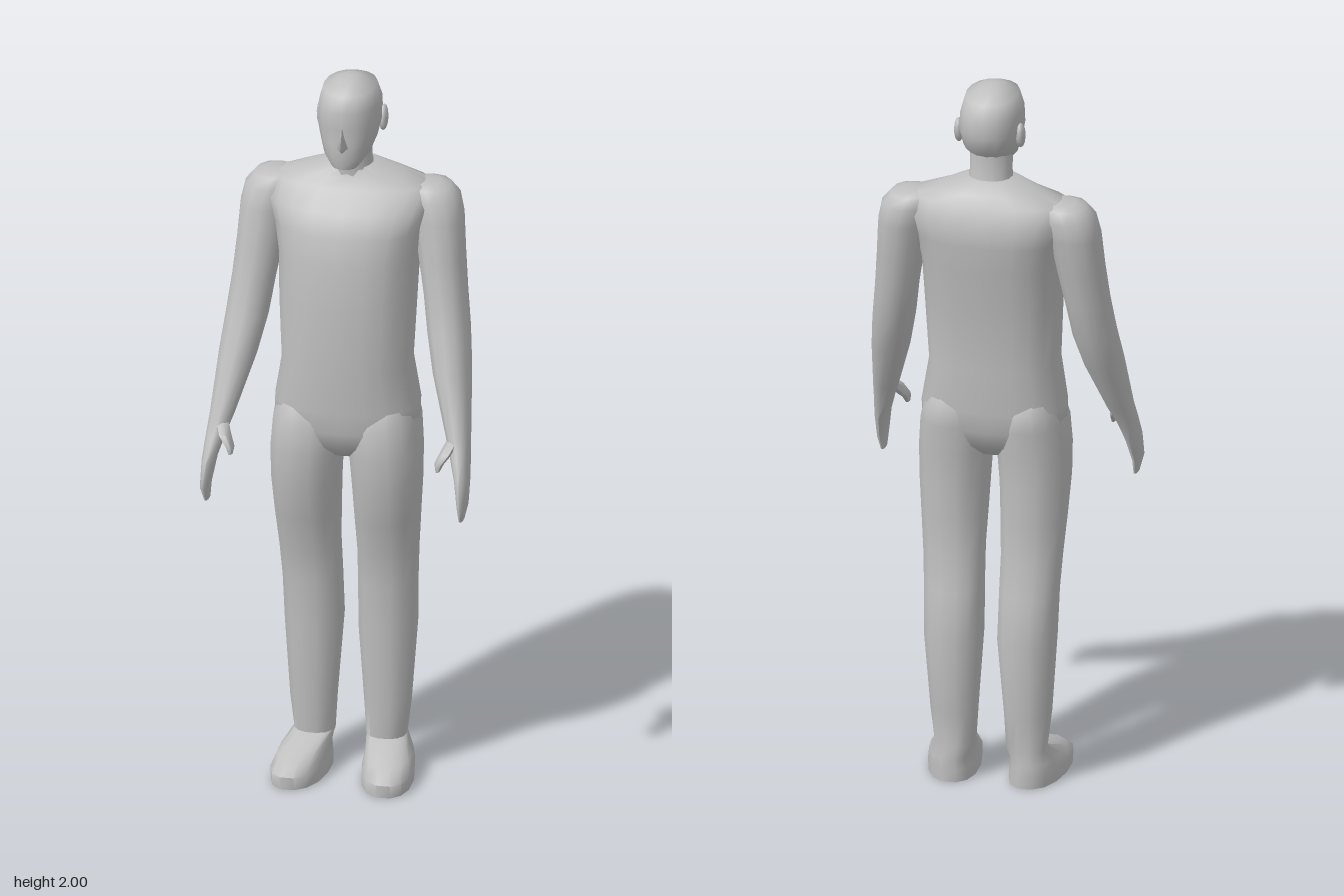
import * as THREE from 'three';
import { toCreasedNormals } from 'three/addons/utils/BufferGeometryUtils.js';

const clay = new THREE.MeshStandardMaterial({ color: 0xc0c0c0 });
clay.name = 'grey clay';

// Closed loft through level sections [y, x0, x1, z0, z1, skew], listed bottom to top.
// Front and back halves are superellipses with their own squareness.
function loft(sections, { sides = 14, front = 2.2, back = 2.2, crease = 1 } = {}) {
  const pos = [], index = [];
  const bend = (v, p) => Math.sign(v) * Math.abs(v) ** (2 / p);
  for (const [y, x0, x1, z0, z1, skew = 0] of sections) {
    for (let i = 0; i < sides; i++) {
      const a = (i / sides) * Math.PI * 2;
      const p = Math.sin(a) > 0 ? front : back;
      const dz = bend(Math.sin(a), p) * (z1 - z0) / 2;
      pos.push((x0 + x1) / 2 + bend(Math.cos(a), p) * (x1 - x0) / 2 + skew * dz, y, (z0 + z1) / 2 + dz);
    }
  }
  for (let j = 0; j < sections.length - 1; j++) {
    for (let i = 0; i < sides; i++) {
      const a = j * sides + i, b = j * sides + (i + 1) % sides;
      index.push(a, a + sides, b, b, a + sides, b + sides);
    }
  }
  // end caps
  const last = sections.length - 1;
  for (const j of [0, last]) {
    const [y, x0, x1, z0, z1] = sections[j];
    const c = pos.length / 3;
    pos.push((x0 + x1) / 2, y, (z0 + z1) / 2);
    for (let i = 0; i < sides; i++) {
      const a = j * sides + i, b = j * sides + (i + 1) % sides;
      if (j === 0) index.push(c, a, b);
      else index.push(c, b, a);
    }
  }
  const g = new THREE.BufferGeometry();
  g.setAttribute('position', new THREE.Float32BufferAttribute(pos, 3));
  g.setIndex(index);
  return toCreasedNormals(g, crease);
}

// Symmetric section about x = 0
const mid = (y, w, z0, z1) => [y, -w, w, z0, z1];
// Section moved to the other side of the body
const flip = ([y, x0, x1, z0, z1, skew = 0]) => [y, -x1, -x0, z0, z1, -skew];

const torso = [
  mid(0.935, 0.06, -0.07, 0.05), mid(0.97, 0.14, -0.11, 0.09), mid(1.02, 0.195, -0.13, 0.105),
  mid(1.08, 0.195, -0.14, 0.11), mid(1.2, 0.175, -0.138, 0.117), mid(1.38, 0.183, -0.16, 0.12),
  mid(1.5, 0.187, -0.18, 0.11), mid(1.58, 0.2, -0.193, 0.097), mid(1.64, 0.22, -0.195, 0.07),
  mid(1.69, 0.21, -0.17, 0.015), mid(1.715, 0.14, -0.155, -0.005), mid(1.745, 0.062, -0.125, -0.015),
];
const neck = [mid(1.7, 0.07, -0.135, -0.005), mid(1.755, 0.057, -0.115, -0.01), mid(1.84, 0.057, -0.12, 0.02)];
const head = [
  mid(1.765, 0.035, -0.02, 0.052), mid(1.795, 0.06, -0.09, 0.06), mid(1.835, 0.075, -0.148, 0.06),
  mid(1.88, 0.085, -0.158, 0.058), mid(1.93, 0.082, -0.162, 0.063), mid(1.972, 0.07, -0.14, 0.045),
  mid(1.992, 0.03, -0.085, 0.0), mid(2.0, 0.006, -0.05, -0.04),
];
const nose = [mid(1.815, 0.012, 0.03, 0.06), mid(1.83, 0.016, 0.03, 0.082), mid(1.885, 0.007, 0.03, 0.06)];

// Limbs on the model's left side
const arm = [
  [0.83, 0.337, 0.35, 0.13, 0.178], [0.87, 0.334, 0.36, 0.115, 0.2], [0.94, 0.322, 0.36, 0.08, 0.185],
  [1.0, 0.303, 0.356, 0.055, 0.155], [1.05, 0.285, 0.352, 0.025, 0.13], [1.2, 0.238, 0.341, -0.058, 0.088],
  [1.3, 0.215, 0.33, -0.098, 0.052], [1.4, 0.2, 0.318, -0.12, 0.028], [1.5, 0.182, 0.309, -0.14, 0.012],
  [1.6, 0.165, 0.302, -0.158, 0.0], [1.655, 0.15, 0.29, -0.163, -0.01], [1.685, 0.15, 0.265, -0.15, -0.025],
  [1.695, 0.16, 0.235, -0.125, -0.05],
];
const thumb = [
  [0.965, 0.274, 0.286, 0.148, 0.172], [0.985, 0.27, 0.296, 0.133, 0.176],
  [1.015, 0.284, 0.32, 0.105, 0.165], [1.045, 0.3, 0.335, 0.07, 0.125],
];
const leg = [
  [0, 0.046, 0.186, -0.12, 0.153, 0.1], [0.035, 0.046, 0.188, -0.12, 0.155, 0.1],
  [0.065, 0.05, 0.178, -0.12, 0.11, 0.08], [0.1, 0.042, 0.152, -0.115, -0.005],
  [0.2, 0.036, 0.164, -0.122, 0.003], [0.42, 0.02, 0.179, -0.15, 0.018], [0.55, 0.021, 0.183, -0.13, 0.024],
  [0.65, 0.022, 0.189, -0.115, 0.04], [0.75, 0.019, 0.196, -0.116, 0.072], [0.86, 0.015, 0.203, -0.12, 0.1],
  [0.95, 0.008, 0.204, -0.125, 0.108], [1.03, 0.004, 0.198, -0.137, 0.108], [1.08, 0.02, 0.185, -0.14, 0.09],
  [1.13, 0.05, 0.165, -0.11, 0.06],
];

export function createModel() {
  const model = new THREE.Group();
  model.name = 'standing figure';
  const add = (name, geometry) => {
    const mesh = new THREE.Mesh(geometry, clay);
    mesh.name = name;
    model.add(mesh);
    return mesh;
  };

  add('torso', loft(torso, { sides: 20, front: 2.3, back: 2.7 }));
  add('neck', loft(neck));
  add('head', loft(head, { sides: 16 }));
  add('nose', loft(nose, { sides: 4, front: 2, back: 2 }));

  // Paired parts
  for (const [side, s] of [['left', 1], ['right', -1]]) {
    const pair = (sections) => (s > 0 ? sections : sections.map(flip));
    add(side + 'Arm', loft(pair(arm), { sides: 12 }));
    add(side + 'Thumb', loft(pair(thumb), { sides: 6, front: 2, back: 2 }));
    add(side + 'Leg', loft(pair(leg), { sides: 14, front: 2.3, back: 2.3 }));
    const ear = add(side + 'Ear', new THREE.SphereGeometry(1, 8, 6));
    ear.scale.set(0.013, 0.036, 0.023);
    ear.position.set(s * 0.084, 1.87, -0.078);
    ear.rotation.x = -0.2;
  }
  return model;
}
